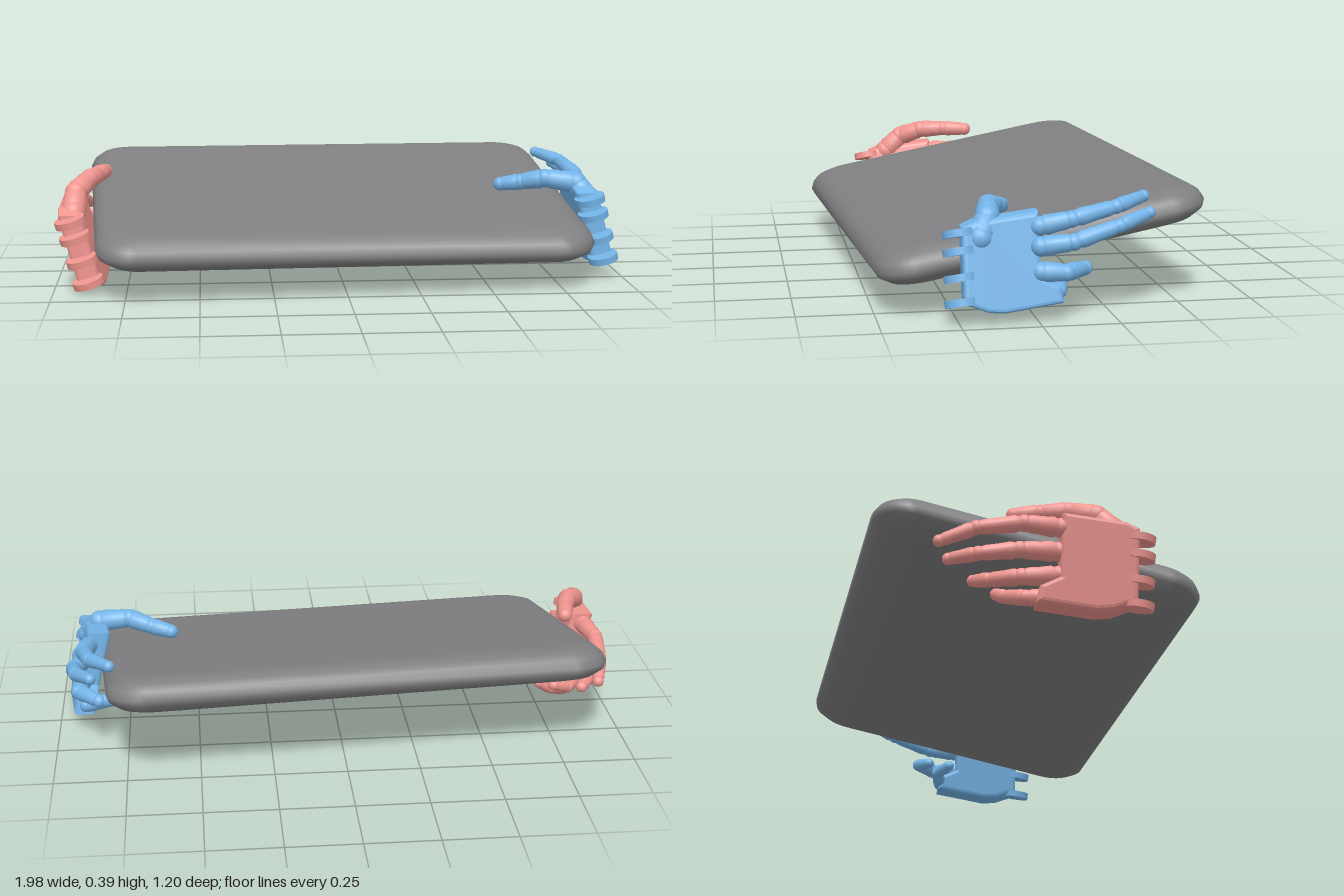
import * as THREE from 'three';

const V = (p) => new THREE.Vector3(...p);
const grey = new THREE.MeshStandardMaterial({ color: 0x808082 });
const blue = new THREE.MeshStandardMaterial({ color: 0x74b4e8 });
const red = new THREE.MeshStandardMaterial({ color: 0xf0958f });

function add(parent, name, geometry, material) {
  const mesh = new THREE.Mesh(geometry, material);
  mesh.name = name;
  parent.add(mesh);
  return mesh;
}

// Slab made of rounded-rectangle loops; profile rows are [inset, height]
function slabGeometry(hw, hd, radius, profile) {
  const steps = 8, n = 4 * (steps + 1), pos = [], index = [];
  for (const [inset, y] of profile) {
    const r = Math.max(radius - inset * 0.6, 0.03);
    for (let q = 0; q < 4; q++) {
      const sx = q === 0 || q === 3 ? 1 : -1, sz = q < 2 ? 1 : -1;
      for (let s = 0; s <= steps; s++) {
        const a = (q + s / steps) * Math.PI / 2;
        pos.push(sx * (hw - inset - r) + r * Math.cos(a), y, sz * (hd - inset - r) + r * Math.sin(a));
      }
    }
  }
  const rows = profile.length;
  for (let j = 0; j < rows - 1; j++) for (let i = 0; i < n; i++) {
    const a = j * n + i, b = j * n + (i + 1) % n, c = a + n, d = b + n;
    index.push(a, b, c, b, d, c);
  }
  // Flat caps
  const top = pos.length / 3, bottom = top + 1, last = (rows - 1) * n;
  pos.push(0, profile[0][1], 0, 0, profile[rows - 1][1], 0);
  for (let i = 0; i < n; i++) {
    const k = (i + 1) % n;
    index.push(top, k, i, bottom, last + i, last + k);
  }
  const g = new THREE.BufferGeometry();
  g.setAttribute('position', new THREE.Float32BufferAttribute(pos, 3));
  g.setIndex(index);
  g.computeVertexNormals();
  return g;
}

// Chain of tapered phalanges with ball joints and a rounded tip
function finger(parent, name, points, r0, r1, material) {
  const group = new THREE.Group();
  group.name = name;
  const p = points.map(V), n = p.length - 1;
  const radius = (t) => r0 + (r1 - r0) * t / n;
  for (let i = 0; i <= n; i++) {
    const joint = add(group, i === n ? 'fingertip' : 'joint', new THREE.SphereGeometry(radius(i), 16, 12), material);
    joint.position.copy(p[i]);
    if (i === n) break;
    const dir = p[i + 1].clone().sub(p[i]), len = dir.length();
    dir.normalize();
    // Phalanx bulges slightly between its two narrower ends
    const ra = radius(i), rb = radius(i + 1);
    const profile = [[ra * 0.85, 0.08], [ra * 1.04, 0.2], [(ra + rb) * 0.5, 0.5], [rb * 1.04, 0.82], [rb * 0.85, 0.96]]
      .map(([r, t]) => new THREE.Vector2(r, t * len));
    const bone = add(group, 'phalanx', new THREE.LatheGeometry(profile, 16), material);
    bone.position.copy(p[i]);
    bone.quaternion.setFromUnitVectors(new THREE.Vector3(0, 1, 0), dir);
  }
  parent.add(group);
}

// Palm side outline as [z, y]
const palmOutline = [[0.225, 0.085], [0.225, 0.295], [0.19, 0.31], [0.005, 0.33], [0.005, 0.135],
  [-0.06, 0.105], [-0.065, 0.075], [0.11, 0.055], [0.16, 0.06]];

function hand(spec) {
  const { name, material, x0, ky, kz, dy, dz, fingers, thumb } = spec;
  const group = new THREE.Group();
  group.name = name;
  const centreX = (y, z) => x0 + ky * (y - 0.2) + kz * (z - 0.12);

  // Palm plate, leaned by shearing x along y and z
  const shape = new THREE.Shape(palmOutline.map(([z, y]) => new THREE.Vector2(-(z + dz), y + dy)));
  const g = new THREE.ExtrudeGeometry(shape, {
    depth: 0.05, bevelSize: 0.015, bevelThickness: 0.015, bevelSegments: 3,
  });
  g.translate(0, 0, -0.025).rotateY(Math.PI / 2);
  const a = g.attributes.position;
  for (let i = 0; i < a.count; i++) a.setX(i, a.getX(i) + centreX(a.getY(i), a.getZ(i)));
  g.computeVertexNormals();
  add(group, 'palm', g, material);

  // Flat rounded tabs at the wrist end
  for (const y of [0.285, 0.23, 0.15, 0.075]) {
    const ty = y + dy, tz = 0.245 + dz;
    const tab = add(group, 'wristTab', new THREE.CylinderGeometry(0.053, 0.053, 0.024, 24), material);
    tab.position.set(centreX(ty, tz), ty, tz);
    tab.rotation.set(0.12, 0, Math.atan(-ky));
  }

  const names = ['indexFinger', 'middleFinger', 'ringFinger', 'littleFinger'];
  fingers.forEach((pts, i) => finger(group, names[i], pts, i === 3 ? 0.029 : 0.032, 0.02, material));
  finger(group, 'thumb', thumb, 0.042, 0.025, material);
  return group;
}

export function createModel() {
  const model = new THREE.Group();
  model.name = 'tabletHeldByHands';

  // Tilted slab with a rounded top edge and a longer taper underneath
  const slab = add(model, 'tablet', slabGeometry(0.86, 0.557, 0.13, [
    [0.11, 0.066], [0.07, 0.064], [0.035, 0.053], [0.012, 0.033], [0, 0.005],
    [0.008, -0.018], [0.04, -0.042], [0.09, -0.057], [0.17, -0.065], [0.22, -0.066],
  ]), grey);
  slab.rotation.set(0.18, 0.07, -0.008, 'YXZ');
  slab.position.set(-0.02, 0.243, 0);

  model.add(hand({
    name: 'leftHand', material: blue, x0: 0.89, ky: -0.25, kz: 0.08, dy: 0, dz: 0,
    fingers: [
      [[0.885, 0.3, -0.01], [0.9, 0.322, -0.11], [0.87, 0.352, -0.26], [0.8, 0.37, -0.365]],
      [[0.91, 0.24, -0.01], [0.935, 0.256, -0.11], [0.92, 0.3, -0.26], [0.865, 0.328, -0.37]],
      [[0.915, 0.16, -0.01], [0.925, 0.157, -0.09], [0.85, 0.152, -0.165], [0.78, 0.135, -0.13]],
      [[0.91, 0.09, -0.04], [0.9, 0.094, -0.07], [0.83, 0.115, -0.09], [0.77, 0.125, -0.05]],
    ],
    thumb: [[0.89, 0.27, 0.18], [0.85, 0.33, 0.15], [0.74, 0.345, 0.13], [0.66, 0.327, 0.09], [0.59, 0.315, 0.06]],
  }));

  model.add(hand({
    name: 'rightHand', material: red, x0: -0.91, ky: -0.27, kz: -0.06, dy: -0.035, dz: 0.11,
    fingers: [
      [[-0.94, 0.27, 0.1], [-0.955, 0.27, -0.02], [-0.94, 0.25, -0.17], [-0.91, 0.21, -0.285]],
      [[-0.91, 0.2, 0.1], [-0.925, 0.19, -0.03], [-0.91, 0.175, -0.16], [-0.86, 0.175, -0.25]],
      [[-0.89, 0.125, 0.1], [-0.895, 0.11, -0.02], [-0.84, 0.12, -0.12], [-0.78, 0.145, -0.16]],
      [[-0.87, 0.055, 0.08], [-0.85, 0.06, 0], [-0.79, 0.09, -0.06], [-0.745, 0.12, -0.08]],
    ],
    thumb: [[-0.93, 0.27, 0.28], [-0.925, 0.33, 0.22], [-0.885, 0.362, 0.14], [-0.855, 0.368, 0.05], [-0.837, 0.365, -0.035]],
  }));

  return model;
}
